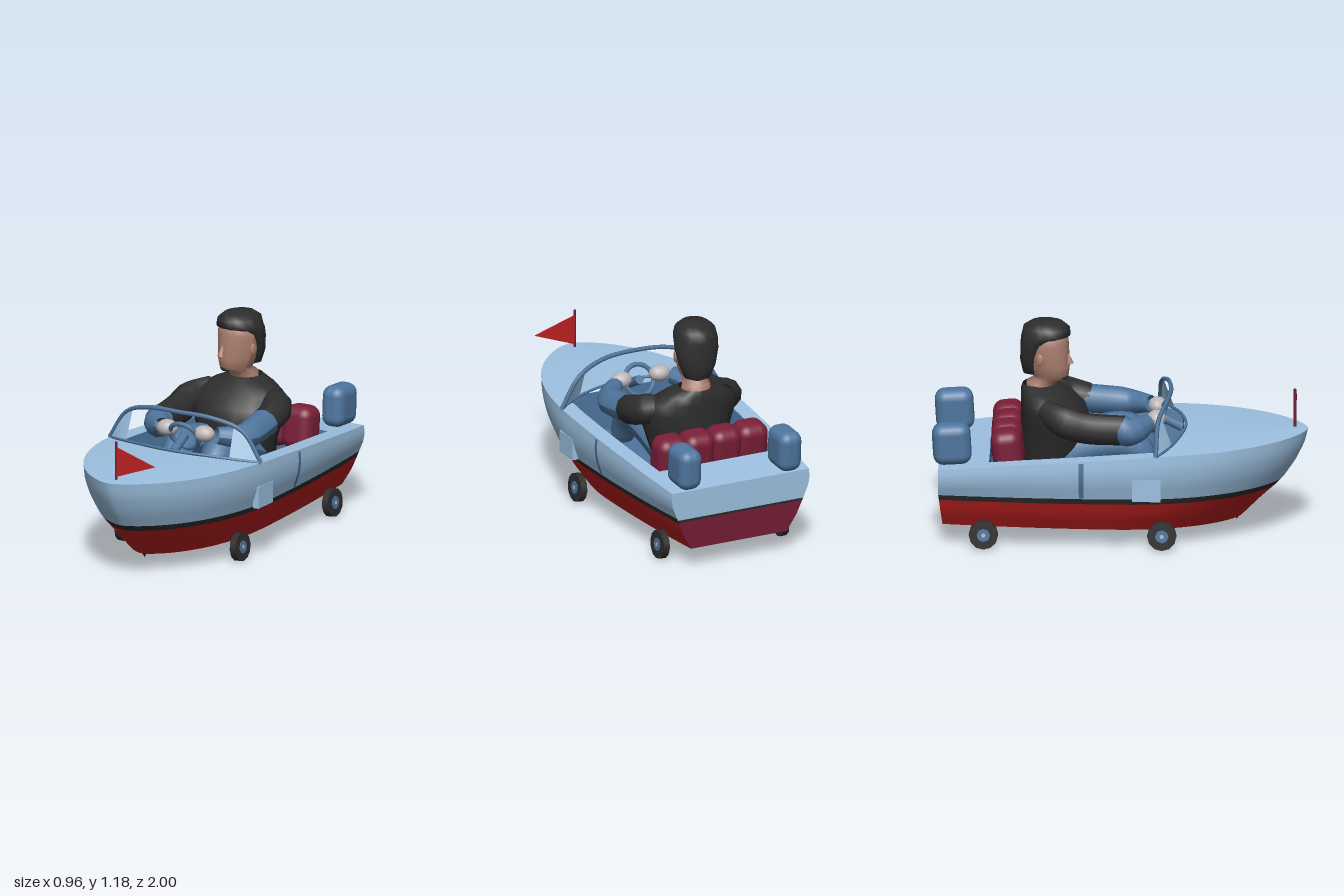
import * as THREE from 'three';
import { RoundedBoxGeometry } from 'three/addons/geometries/RoundedBoxGeometry.js';

const paint = (name, color) => new THREE.MeshStandardMaterial({ name, color, side: THREE.DoubleSide });

// piecewise linear lookup in [[key, value], ...]
function lookup(table, k) {
  for (let i = 1; i < table.length; i++) {
    const [a, p] = table[i - 1], [b, q] = table[i];
    if (k <= b || i === table.length - 1) return p + (q - p) * Math.min(1, Math.max(0, (k - a) / (b - a)));
  }
}

// grid surface from a rule f(u, v) -> [x, y, z]
function surface(f, nu, nv) {
  const pos = [], idx = [];
  for (let j = 0; j <= nv; j++) for (let i = 0; i <= nu; i++) pos.push(...f(i / nu, j / nv));
  for (let j = 0; j < nv; j++) for (let i = 0; i < nu; i++) {
    const a = j * (nu + 1) + i, b = a + nu + 1;
    idx.push(a, a + 1, b, a + 1, b + 1, b);
  }
  const g = new THREE.BufferGeometry();
  g.setAttribute('position', new THREE.Float32BufferAttribute(pos, 3));
  g.setIndex(idx);
  g.computeVertexNormals();
  return g;
}

// stacked elliptical rings [y, centreZ, radiusX, radiusZ]
function stack(rings, sides = 16) {
  return surface((u, v) => {
    const [y, cz, rx, rz] = rings[Math.round(v * (rings.length - 1))], a = -u * Math.PI * 2;
    return [rx * Math.cos(a), y, cz + rz * Math.sin(a)];
  }, sides, rings.length - 1);
}

// limb with a changing radius along a smooth path
function limb(points, radii) {
  const n = 16, curve = new THREE.CatmullRomCurve3(points.map(p => new THREE.Vector3(...p)));
  const g = new THREE.TubeGeometry(curve, n, 1, 10), p = g.attributes.position, v = new THREE.Vector3();
  for (let i = 0; i <= n; i++) {
    const c = curve.getPointAt(i / n), r = lookup(radii, i / n);
    for (let j = 0; j <= 10; j++) {
      v.fromBufferAttribute(p, i * 11 + j).sub(c).multiplyScalar(r).add(c);
      p.setXYZ(i * 11 + j, v.x, v.y, v.z);
    }
  }
  g.computeVertexNormals();
  return g;
}

// hull rules: deck half width, sheer height, flare and bow position by height
const halfWidth = z => z > 0.1
  ? 0.47 * Math.pow(Math.max(0, 1 - Math.pow((z - 0.1) / 0.9, 2.2)), 0.66)
  : 0.47 - 0.06 * ((0.1 - z) / 1.06) ** 2;
const sheer = z => lookup([[-0.96, 0.46], [-0.5, 0.505], [0, 0.545], [0.3, 0.565], [1, 0.58]], z);
const FLARE = [[0.1, 0.7], [0.2, 0.83], [0.28, 0.9], [0.31, 0.925], [0.42, 0.99], [0.5, 1.01], [0.58, 1]];
const BOW = [[0.1, 0.65], [0.2, 0.75], [0.3, 0.86], [0.4, 0.93], [0.5, 0.98], [0.58, 1]];
function hullPoint(h, u, side) {
  const stern = -0.96 + 0.02 * Math.max(0, (0.31 - h) / 0.21);
  const z = stern + (lookup(BOW, h) - stern) * u;
  const y = h <= 0.31 ? h + 0.02 * (1 - u) * (0.31 - h) / 0.21 : 0.31 + (sheer(z) - 0.31) * (h - 0.31) / 0.27;
  return [side * lookup(FLARE, h) * halfWidth(-0.96 + 1.96 * u), y, z];
}

export function createModel() {
  const root = new THREE.Group();
  root.name = 'boatCartWithDriver';
  const lightBlue = paint('lightBlue', 0x9dc1e1), blue = paint('blue', 0x4f769f), red = paint('red', 0xbe2020);
  const black = paint('black', 0x2d2d2d), maroon = paint('maroon', 0x7b1f38);
  const skin = paint('skin', 0xac8070), pale = paint('paleGrey', 0xbdb6b8);
  const add = (name, geo, mat, pos = [0, 0, 0], parent = root) => {
    const m = new THREE.Mesh(geo, mat);
    m.name = name;
    m.position.set(...pos);
    parent.add(m);
    return m;
  };
  const ball = (name, mat, pos, scale, parent) => add(name, new THREE.SphereGeometry(1, 14, 10), mat, pos, parent).scale.set(...scale);

  // hull bands, wrapped around the bow, and the transom
  const band = (a, b, n) => surface((u, v) => {
    const s = 1 - 2 * u;
    return hullPoint(a + (b - a) * v, 1 - s * s, Math.sign(s));
  }, 56, n);
  const transom = (a, b) => surface((u, v) => hullPoint(a + (b - a) * v, 0, 2 * u - 1), 4, 4);
  add('lowerHull', band(0.1, 0.278, 6), red);
  add('waterlineStripe', band(0.278, 0.312, 1), black);
  add('upperHull', band(0.312, 0.58, 8), lightBlue);
  add('hullBottom', surface((u, v) => hullPoint(0.1, 1 - (1 - v) ** 2, 1 - 2 * u), 6, 24), red);
  add('lowerTransom', transom(0.1, 0.285), maroon);
  add('transomStripe', transom(0.285, 0.3), black);
  add('upperTransom', transom(0.3, 0.58), lightBlue);
  const skid = add('bowSkid', new THREE.ConeGeometry(0.024, 0.07, 8), black, [0, 0.105, 0.62]);
  skid.rotation.x = Math.PI;
  skid.scale.z = 2.2;

  // decks around the cockpit
  add('foredeck', surface((u, v) => {
    const s = 1 - 2 * u, z0 = 0.35 - 0.15 * s * s, z = z0 + (1 - z0) * (1 - (1 - v) ** 2);
    return [s * halfWidth(z), sheer(z) + 0.02 * (1 - s * s) * (1 - v), z];
  }, 16, 20), lightBlue);
  add('aftDeck', surface((u, v) => {
    const z = -0.69 - 0.27 * v;
    return [(2 * u - 1) * halfWidth(z), sheer(z), z];
  }, 4, 4), lightBlue);
  const inner = z => halfWidth(z) - 0.09;
  for (const s of [-1, 1]) {
    add('sideDeck', surface((u, v) => {
      const z = -0.69 + 0.94 * v;
      return [s * (inner(z) + 0.09 * u), sheer(z), z];
    }, 2, 12), lightBlue);
    add('cockpitWall', surface((u, v) => {
      const z = -0.69 + 1.02 * v;
      return [s * (inner(z) - 0.03 * u), sheer(z) - u * (sheer(z) - 0.34), z];
    }, 2, 12), blue);
  }
  add('cockpitFloor', surface((u, v) => [(2 * u - 1) * 0.37, 0.34, -0.69 + 1.02 * v], 1, 1), blue);
  for (const z of [-0.69, 0.33])
    add('cockpitEnd', surface((u, v) => [(2 * u - 1) * 0.36, 0.34 + v * (sheer(z) - 0.34), z], 1, 1), blue);

  // windscreen frame, open in the middle with filled corners
  const arch = half => new THREE.CatmullRomCurve3(
    [...half, ...half.slice(0, -1).reverse().map(([x, y, z]) => [-x, y, z])].map(p => new THREE.Vector3(...p)));
  const rail = arch([[0.47, 0.56, 0.2], [0.36, 0.72, 0.21], [0.2, 0.778, 0.25], [0, 0.788, 0.27]]);
  const sill = arch([[0.47, 0.56, 0.2], [0.37, 0.575, 0.26], [0.2, 0.59, 0.32], [0, 0.595, 0.35]]);
  add('windscreenRail', new THREE.TubeGeometry(rail, 40, 0.012, 6), blue);
  add('windscreenSill', new THREE.TubeGeometry(sill, 40, 0.008, 6), blue);
  for (const start of [0, 0.78])
    add('windscreenCorner', surface((u, v) => {
      const t = start + 0.22 * u;
      return rail.getPoint(t).lerp(sill.getPoint(t), v).toArray();
    }, 8, 1), lightBlue);

  // steering wheel and column
  const wheel = add('steeringWheel', new THREE.TorusGeometry(0.085, 0.013, 8, 20), blue, [0, 0.64, 0.21]);
  wheel.rotation.x = 0.47;
  const column = add('steeringColumn', new THREE.CylinderGeometry(0.025, 0.025, 0.14, 8), blue, [0, 0.612, 0.265]);
  column.rotation.x = -1.1;

  // seat back made of four overlapping cushions
  for (let i = 0; i < 4; i++) {
    const cushion = add('seatCushion', new RoundedBoxGeometry(0.18, 0.24, 0.165, 4, 0.06), maroon, [-0.24 + i * 0.16, 0.52, -0.595]);
    cushion.rotation.x = -0.12;
  }

  for (const s of [-1, 1]) {
    // stern pods
    add('sternPod', new RoundedBoxGeometry(0.135, 0.225, 0.205, 3, 0.055), blue, [s * 0.3, 0.577, -0.89]).rotation.x = -0.06;
    // raised plate and narrow mark on each flank
    add('sidePlate', new THREE.BoxGeometry(0.035, 0.12, 0.15), lightBlue, [s * 0.452, 0.37, 0.15]);
    add('sideMark', surface((u, v) => {
      const h = 0.32 + 0.25 * v, z = -0.21 + 0.025 * u;
      const [x, y] = hullPoint(h, (z + 0.96) / (lookup(BOW, h) + 0.96), s);
      return [x + s * 0.003, y, z];
    }, 1, 8), blue);
    // road wheels
    for (const z of [0.23, -0.72]) {
      const g = new THREE.Group();
      g.name = 'roadWheel';
      g.position.set(s * 0.358, 0.085, z);
      g.rotation.z = Math.PI / 2 + s * 0.08;
      root.add(g);
      add('tyre', new THREE.CylinderGeometry(0.078, 0.078, 0.036, 12), black, [0, 0, 0], g);
      add('hub', new THREE.CylinderGeometry(0.036, 0.036, 0.042, 8), blue, [0, 0, 0], g);
      add('hubCap', new THREE.CylinderGeometry(0.012, 0.012, 0.046, 6), pale, [0, 0, 0], g);
    }
  }

  // bow pennant
  add('flagPole', new THREE.CylinderGeometry(0.007, 0.007, 0.22, 6), maroon, [0.01, 0.685, 0.93]);
  const pennant = new THREE.Shape([[0, 0.6], [0.24, 0.69], [0, 0.765]].map(p => new THREE.Vector2(...p)));
  add('pennant', new THREE.ExtrudeGeometry(pennant, { depth: 0.008, bevelEnabled: false }), red, [0.01, 0, 0.926]);

  // driver: torso, legs, arms
  add('shirt', stack([[0.36, -0.38, 0.19, 0.14], [0.5, -0.345, 0.22, 0.185], [0.6, -0.34, 0.25, 0.19],
    [0.69, -0.355, 0.275, 0.175], [0.75, -0.385, 0.25, 0.145], [0.795, -0.41, 0.17, 0.12], [0.825, -0.43, 0.085, 0.09]], 20), black);
  for (const s of [-1, 1]) {
    add('trouserLeg', limb([[s * 0.1, 0.45, -0.3], [s * 0.11, 0.51, -0.12], [s * 0.12, 0.52, 0.06], [s * 0.12, 0.37, 0.17]],
      [[0, 0.1], [0.6, 0.095], [1, 0.065]]), blue);
    const upper = [[s * 0.19, 0.73, -0.4], [s * 0.26, 0.69, -0.3], [s * 0.265, 0.655, -0.18]];
    const lower = [[s * 0.26, 0.655, s < 0 ? 0 : -0.2], [s * 0.265, 0.635, 0.04], [s * 0.17, 0.655, 0.16]];
    if (s < 0) upper.push([-0.255, 0.64, 0.03]);
    add('sleeve', limb(upper, [[0, 0.06], [0.3, 0.085], [1, 0.08]]), black);
    add('forearm', limb(lower, [[0, 0.078], [0.5, 0.075], [1, 0.045]]), blue);
    ball('hand', pale, [s * 0.115, 0.665, 0.195], [0.06, 0.045, 0.05]);
  }

  // head, turned a little to one side
  const head = new THREE.Group();
  head.name = 'head';
  head.position.set(-0.02, 0, -0.395);
  head.rotation.y = -0.3;
  root.add(head);
  add('face', stack([[0.79, -0.03, 0.085, 0.075], [0.84, -0.03, 0.075, 0.075], [0.858, 0.015, 0.065, 0.085],
    [0.885, 0.025, 0.08, 0.1], [0.93, 0.018, 0.096, 0.112], [1, 0.006, 0.107, 0.12], [1.06, 0.002, 0.112, 0.12],
    [1.12, 0, 0.105, 0.118], [1.15, 0, 0.05, 0.05]]), skin, [0, 0, 0], head);
  add('hair', stack([[0.875, -0.07, 0.03, 0.03], [0.89, -0.075, 0.07, 0.05], [0.96, -0.07, 0.1, 0.068], [1.04, -0.05, 0.118, 0.085],
    [1.09, -0.02, 0.12, 0.115], [1.105, 0, 0.119, 0.133], [1.145, 0.002, 0.108, 0.126], [1.172, 0.005, 0.075, 0.09], [1.183, 0.005, 0.005, 0.005]]), black, [0, 0, 0], head);
  const nose = add('nose', new THREE.ConeGeometry(0.02, 0.075, 8), skin, [0, 0.985, 0.127], head);
  nose.rotation.x = -0.25;
  ball('chinBeard', black, [0, 0.875, 0.105], [0.036, 0.015, 0.018], head);
  for (const s of [-1, 1]) ball('ear', skin, [s * 0.106, 0.985, 0], [0.01, 0.034, 0.02], head);

  return root;
}
